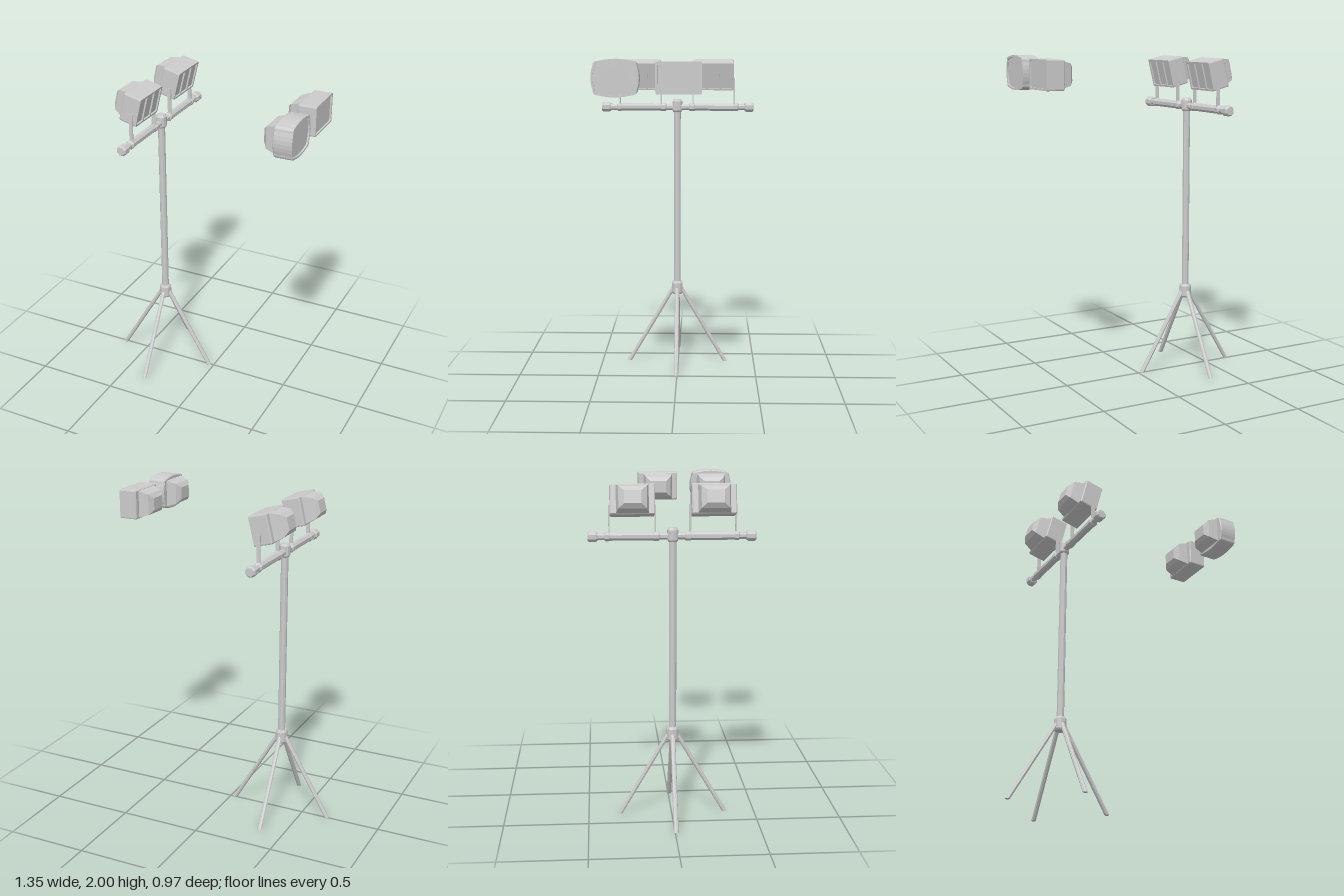
import * as THREE from 'three';

const mat = new THREE.MeshStandardMaterial({ color: 0xcccccc, flatShading: true });
const POLE_X = -0.346, POLE_Z = 0.006;

function add(parent, name, geometry, x = 0, y = 0, z = 0) {
  const mesh = new THREE.Mesh(geometry, mat);
  mesh.name = name;
  mesh.position.set(x, y, z);
  parent.add(mesh);
  return mesh;
}

// Turned part from [radius, height] pairs
const turned = (points, sides = 8) =>
  new THREE.LatheGeometry(points.map(([r, h]) => new THREE.Vector2(r, h)), sides, Math.PI / sides);

// Outline with four bowed sides and rounded corners; w and h are half sizes
function outline(Type, w, h, bow, r) {
  const a = w - bow, b = h - bow, s = new Type();
  s.moveTo(-a + r, -b);
  s.quadraticCurveTo(0, -b - 2 * bow, a - r, -b);
  s.quadraticCurveTo(a, -b, a, -b + r);
  s.quadraticCurveTo(a + 2 * bow, 0, a, b - r);
  s.quadraticCurveTo(a, b, a - r, b);
  s.quadraticCurveTo(0, b + 2 * bow, -a + r, b);
  s.quadraticCurveTo(-a, b, -a, b - r);
  s.quadraticCurveTo(-a - 2 * bow, 0, -a, -b + r);
  s.quadraticCurveTo(-a, -b, -a + r, -b);
  return s;
}

// Stepped taper through rectangles [half width, half height, z], front to back
function taper(rings) {
  const corners = [[-1, -1], [1, -1], [1, 1], [-1, 1]];
  const pos = [], index = [];
  for (const [w, h, z] of rings) for (const [x, y] of corners) pos.push(x * w, y * h, z);
  for (let i = 0; i < rings.length - 1; i++) {
    for (let j = 0; j < 4; j++) {
      const a = i * 4 + j, b = i * 4 + (j + 1) % 4;
      index.push(a, a + 4, b, b, a + 4, b + 4);
    }
  }
  const e = (rings.length - 1) * 4;
  index.push(e, e + 2, e + 1, e, e + 3, e + 2);
  const g = new THREE.BufferGeometry();
  g.setAttribute('position', new THREE.Float32BufferAttribute(pos, 3));
  g.setIndex(index);
  const flat = g.toNonIndexed();
  flat.computeVertexNormals();
  return flat;
}

// Floodlight facing local +z, centred on its housing
function floodlight(name, { w, h, bow = 0, r = 0.008, bars = false }) {
  const lamp = new THREE.Group();
  lamp.name = name;
  const depth = 0.112, rim = 0.01, bevel = 0.006;
  const extrude = (shape, d, bevelled) => new THREE.ExtrudeGeometry(shape, {
    depth: d, curveSegments: bow ? 6 : 2, bevelEnabled: bevelled,
    bevelThickness: bevel, bevelSize: bevel, bevelOffset: -bevel, bevelSegments: 1,
  });
  const bodyDepth = depth - rim;
  add(lamp, 'housing', extrude(outline(THREE.Shape, w, h, bow, r), bodyDepth - 2 * bevel, true),
    0, 0, -depth / 2 + bevel);
  const frame = outline(THREE.Shape, w, h, bow, r);
  frame.holes.push(outline(THREE.Path, w - 0.011, h - 0.011, bow, r * 0.8));
  add(lamp, 'frontFrame', extrude(frame, rim + bevel, false), 0, 0, depth / 2 - rim - bevel);
  add(lamp, 'rearCasing', taper([
    [0.094, 0.082, -depth / 2 + 0.005], [0.08, 0.063, -depth / 2 - 0.058], [0.049, 0.037, -depth / 2 - 0.081],
  ]));
  if (bars) {
    for (const s of [-1, 1]) {
      add(lamp, 'guardBar', new THREE.BoxGeometry(0.01, 2 * h - 0.016, 0.014), s * w / 3, 0, depth / 2 - 0.007);
    }
  }
  return lamp;
}

function place(parent, lamp, x, y, z, tilt = 0) {
  lamp.position.set(x, y, z);
  lamp.rotation.set(0, Math.PI / 2, tilt, 'ZYX');
  parent.add(lamp);
}

export function createModel() {
  const model = new THREE.Group();
  const stand = new THREE.Group();
  stand.name = 'lightStand';
  stand.position.set(POLE_X, 0, POLE_Z);
  model.add(stand);

  // Pole with collars
  add(stand, 'pole', new THREE.CylinderGeometry(0.022, 0.022, 1.2, 10), 0, 1.08, 0);
  add(stand, 'legCollar', turned([[0, 0.457], [0.03, 0.457], [0.037, 0.468], [0.037, 0.53], [0.03, 0.543], [0, 0.543]], 10));
  add(stand, 'topCollar', turned([[0, 1.65], [0.026, 1.65], [0.033, 1.66], [0.033, 1.718], [0.024, 1.732], [0, 1.732]], 10));

  // Four splayed legs, cut level at the floor
  for (let i = 0; i < 4; i++) {
    const leg = new THREE.CylinderGeometry(0.0145, 0.0145, 0.51, 8);
    leg.translate(0, 0.255, 0);
    const p = leg.attributes.position;
    for (let k = 0; k < p.count; k++) p.setX(k, p.getX(k) + 0.316 - 0.585 * p.getY(k));
    leg.computeVertexNormals();
    add(stand, 'leg', leg).rotation.y = i * Math.PI / 2;
  }

  // Crossbar: end knobs, necks and thicker sleeves
  const half = [[0.02, 0.072], [0.025, 0.075], [0.028, 0.082], [0.028, 0.105], [0.025, 0.11], [0.025, 0.36],
    [0.028, 0.365], [0.028, 0.382], [0.02, 0.39], [0.02, 0.428], [0.025, 0.428], [0.0325, 0.437],
    [0.0325, 0.476], [0.025, 0.485], [0, 0.485]];
  const bar = [...half.map(([r, h]) => [r, -h]).reverse(), ...half];
  add(stand, 'crossbar', turned(bar), 0, 1.682, -0.003).rotation.x = Math.PI / 2;

  // Two tilted lamps on bracket arms
  for (const z of [-0.232, 0.234]) {
    place(stand, floodlight('standLamp', { w: 0.128, h: 0.087, bars: true }), -0.002, 1.888, z, -0.24);
    for (const s of [-1, 1]) {
      add(stand, 'bracketArm', new THREE.BoxGeometry(0.022, 0.175, 0.008), 0.004, 1.775, z + s * 0.132);
    }
  }

  // Two loose lamps: one square, one with bowed sides
  place(model, floodlight('squareLamp', { w: 0.127, h: 0.088 }), 0.614, 1.897, -0.027);
  place(model, floodlight('roundedLamp', { w: 0.132, h: 0.104, bow: 0.012, r: 0.025 }), 0.616, 1.896, 0.321);
  return model;
}
